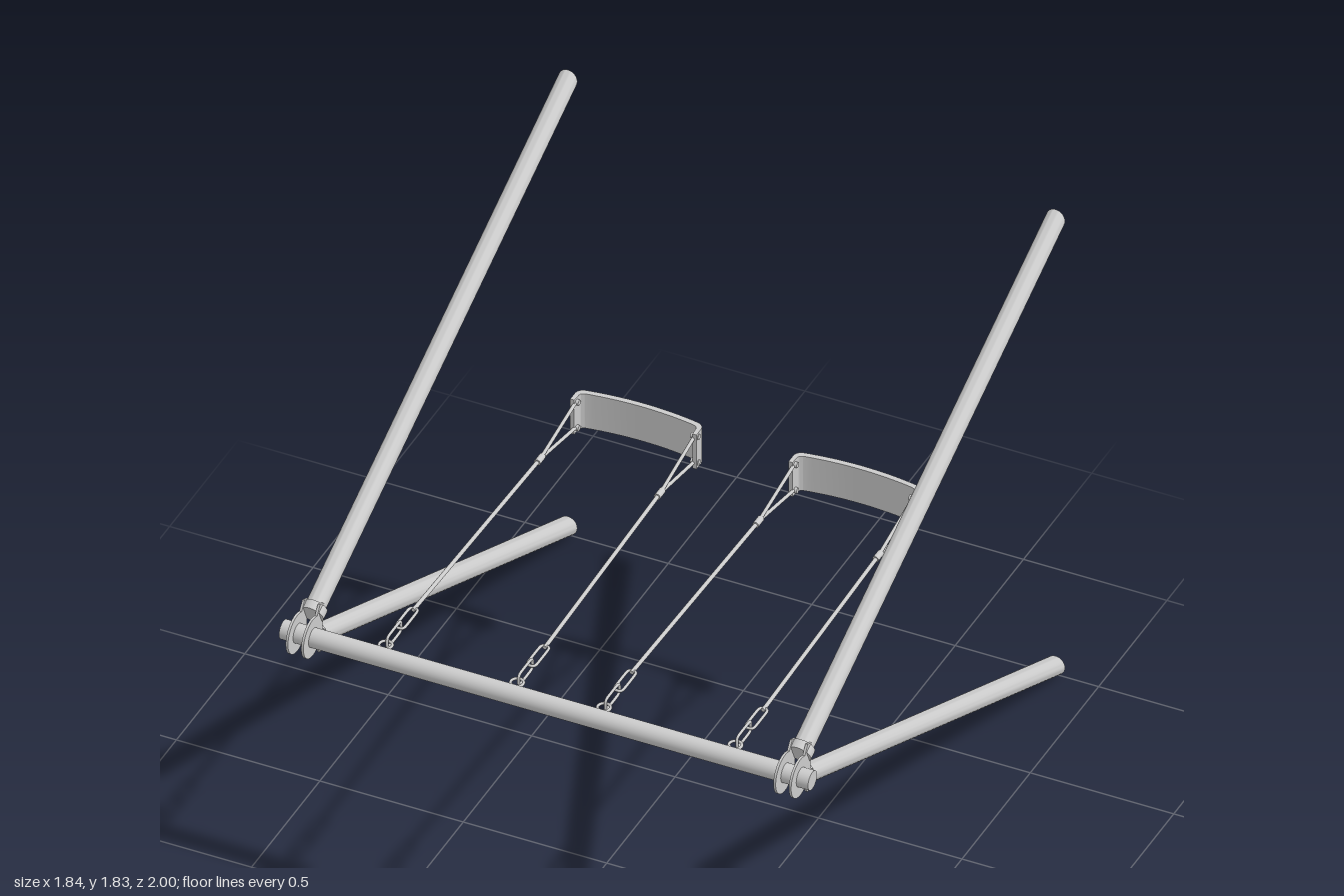
import * as THREE from 'three';
import { toCreasedNormals } from 'three/addons/utils/BufferGeometryUtils.js';

const mat = new THREE.MeshStandardMaterial({ color: 0xcccccc });
const V = (x, y, z) => new THREE.Vector3(x, y, z);
const MID = 0.914, BAR_Z = 0.93, LEG_X = 0.85;

function add(parent, name, geo) {
  const m = new THREE.Mesh(geo, mat);
  m.name = name;
  parent.add(m);
  return m;
}

// Round rod between two points
function rod(parent, name, a, b, r, sides = 10) {
  const m = add(parent, name, new THREE.CylinderGeometry(r, r, a.distanceTo(b), sides));
  m.position.copy(a).add(b).multiplyScalar(0.5);
  m.quaternion.setFromUnitVectors(V(0, 1, 0), b.clone().sub(a).normalize());
  return m;
}

// Closed chain link in the x-z plane, w and l are half sizes
function link(parent, name, w, l, r) {
  const pts = [[1, 0.75], [0.6, 1], [-0.6, 1], [-1, 0.75], [-1, -0.75], [-0.6, -1], [0.6, -1], [1, -0.75]]
    .map(([x, z]) => V(x * w, 0, z * l));
  const curve = new THREE.CatmullRomCurve3(pts, true, 'catmullrom', 0.3);
  return add(parent, name, new THREE.TubeGeometry(curve, 40, r, 8, true));
}

// Leg tube whose far end is cut flat on the plane z = -1
function legGeometry(s) {
  const a = V(0, MID + s * 0.048, 0.865), b = V(0, MID + s * 0.879, -1);
  const dir = b.clone().sub(a).normalize();
  const geo = new THREE.CylinderGeometry(0.033, 0.033, a.distanceTo(b), 32);
  geo.applyQuaternion(new THREE.Quaternion().setFromUnitVectors(V(0, 1, 0), dir));
  geo.translate(0, (a.y + b.y) / 2, (a.z + b.z) / 2);
  const p = geo.attributes.position;
  for (let i = 0; i < p.count; i++) {
    if (p.getZ(i) > 0) continue;
    const t = (-1 - p.getZ(i)) / dir.z;
    p.setXYZ(i, p.getX(i), p.getY(i) + dir.y * t, -1);
  }
  return { geo: toCreasedNormals(geo, 0.6), a, dir };
}

// Cheek plate of the corner bracket, drawn in z-y around the bar
function plateGeometry() {
  const s = new THREE.Shape();
  s.moveTo(-0.03, -0.063);
  s.absarc(0, 0, 0.07, -2.02, 2.02, false);
  s.lineTo(-0.052, 0.094);
  s.lineTo(-0.082, 0.08);
  s.lineTo(-0.092, 0.03);
  s.lineTo(-0.07, 0.012);
  s.lineTo(-0.07, -0.012);
  s.lineTo(-0.092, -0.03);
  s.lineTo(-0.082, -0.08);
  s.lineTo(-0.052, -0.094);
  const g = new THREE.ExtrudeGeometry(s, { depth: 0.008, bevelEnabled: false, curveSegments: 24 });
  return g.translate(0, 0, -0.004).rotateY(-Math.PI / 2);
}

function endFrame(x) {
  const g = new THREE.Group();
  g.name = 'endFrame';
  g.position.x = x;
  for (const s of [1, -1]) {
    const { geo, a, dir } = legGeometry(s);
    add(g, 'leg', geo);
    rod(g, 'legCollar', a.clone().addScaledVector(dir, -0.012), a.clone().addScaledVector(dir, 0.02), 0.041, 24);
    add(g, 'bracketPlate', plateGeometry()).position.set(s * 0.027, MID, BAR_Z);
  }
  return g;
}

// Curved seat with turned-up ends
function seatGeometry() {
  const s = new THREE.Shape();
  s.moveTo(-0.22, 0.465);
  s.lineTo(-0.22, 0.5);
  s.quadraticCurveTo(-0.218, 0.522, -0.195, 0.527);
  s.quadraticCurveTo(0, 0.561, 0.195, 0.527);
  s.quadraticCurveTo(0.218, 0.522, 0.22, 0.5);
  s.lineTo(0.22, 0.465);
  s.lineTo(0.206, 0.465);
  s.lineTo(0.204, 0.495);
  s.quadraticCurveTo(0.203, 0.506, 0.185, 0.51);
  s.quadraticCurveTo(0, 0.54, -0.185, 0.51);
  s.quadraticCurveTo(-0.203, 0.506, -0.204, 0.495);
  s.lineTo(-0.206, 0.465);
  const g = new THREE.ExtrudeGeometry(s, { depth: 0.135, bevelEnabled: false, curveSegments: 16 });
  return toCreasedNormals(g.translate(0, 0, -0.0675).rotateX(-Math.PI / 2), 0.6);
}

function swing(x) {
  const g = new THREE.Group();
  g.name = 'swing';
  g.position.set(x, MID, 0);
  add(g, 'seat', seatGeometry());
  for (const s of [1, -1]) {
    const top = s * 0.229, low = s * 0.209;
    // Eye on the bar, carabiner and long link
    const eye = add(g, 'barEye', new THREE.TorusGeometry(0.021, 0.005, 8, 28).rotateX(Math.PI / 2));
    eye.position.set(top, 0, 0.866);
    rod(g, 'eyeStem', V(top, 0, 0.91), V(top, 0, 0.887), 0.007);
    const hook = link(g, 'carabiner', 0.021, 0.05, 0.005);
    hook.rotation.z = Math.PI / 2;
    hook.position.set(top, 0, 0.805);
    link(g, 'longLink', 0.015, 0.056, 0.005).position.set(top, 0, 0.712);
    // Rope, splitting in two above the seat
    rod(g, 'rope', V(top, 0, 0.665), V(low, 0, -0.22), 0.007);
    rod(g, 'ropeSleeve', V(low, 0, -0.2), V(low, 0, -0.24), 0.011, 16);
    for (const t of [1, -1]) {
      rod(g, 'seatRope', V(low, 0, -0.225), V(s * 0.207, t * 0.05, -0.48), 0.006);
      rod(g, 'ropeAnchor', V(s * 0.195, t * 0.05, -0.48), V(s * 0.223, t * 0.05, -0.48), 0.01, 12);
    }
  }
  return g;
}

export function createModel() {
  const model = new THREE.Group();
  model.name = 'swingSet';
  rod(model, 'crossbar', V(-0.922, MID, BAR_Z), V(0.922, MID, BAR_Z), 0.033, 32);
  for (const s of [1, -1]) model.add(endFrame(s * LEG_X));
  model.add(swing(-0.367), swing(0.394));
  return model;
}
